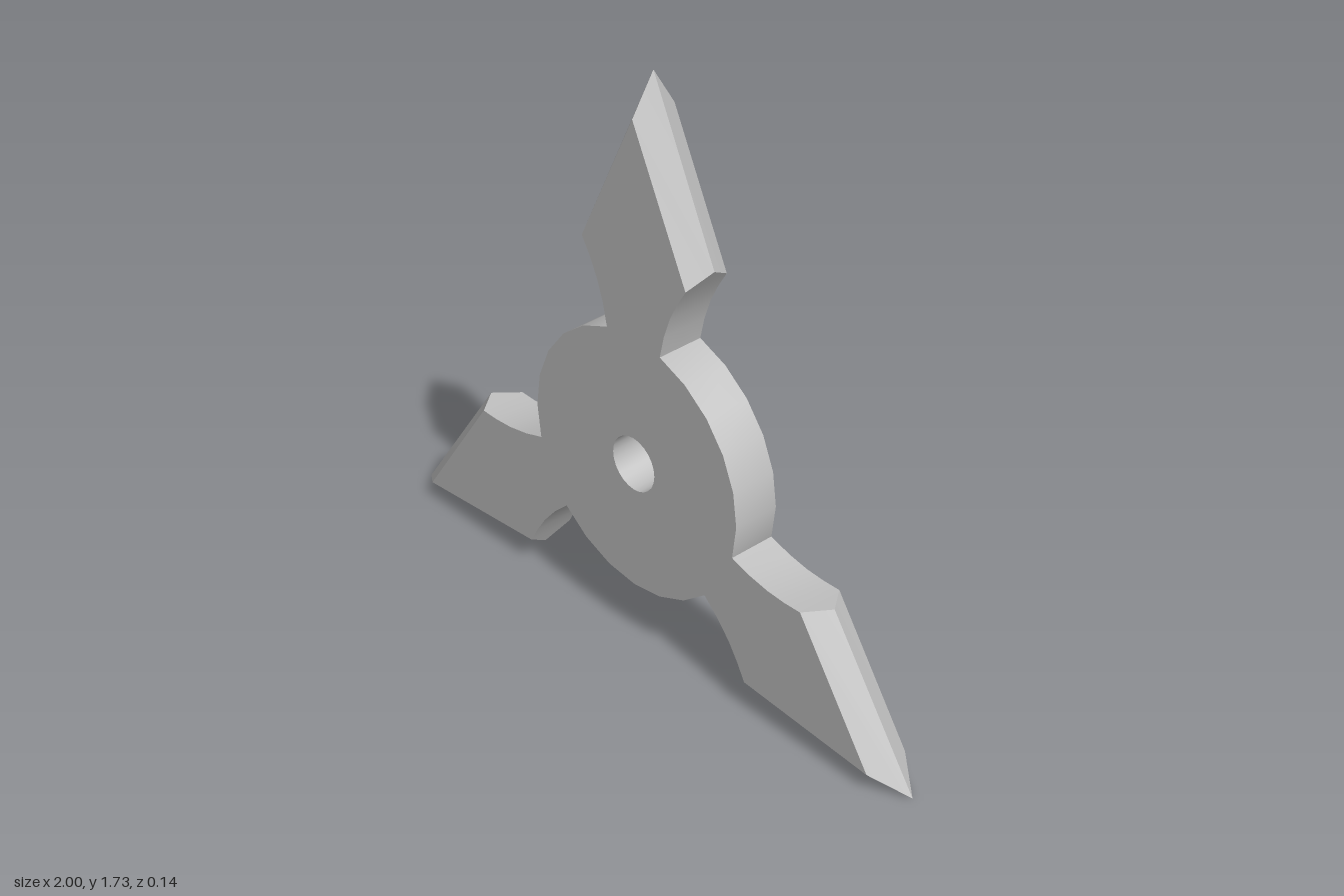
import * as THREE from 'three';
import { toCreasedNormals } from 'three/addons/utils/BufferGeometryUtils.js';

const CENTER_Y = 0.577;  // height of the hub axis
const HALF = 0.072;      // half thickness
const HUB_R = 0.4;
const HOLE_R = 0.083;
const STEP = Math.PI / 12;

const steel = new THREE.MeshStandardMaterial({ color: 0xc0c0c0 });
steel.name = 'steel';

function circlePoints(radius) {
  return Array.from({ length: 24 }, (_, i) =>
    new THREE.Vector2(radius * Math.cos(i * STEP), radius * Math.sin(i * STEP)));
}

// Round hub with a bored hole
function hubGeometry() {
  const shape = new THREE.Shape(circlePoints(HUB_R));
  shape.holes.push(new THREE.Path(circlePoints(HOLE_R)));
  const geometry = new THREE.ExtrudeGeometry(shape, { depth: 2 * HALF, bevelEnabled: false });
  geometry.translate(0, 0, -HALF);
  return toCreasedNormals(geometry, 0.5);
}

// Blade pointing up: flat faces, curved neck and bevelled cutting edges
function bladeGeometry() {
  const root = [HUB_R * Math.cos(5 * STEP), HUB_R * Math.sin(5 * STEP)];
  const neck = [root, [0.119, 0.455], [0.142, 0.52], [0.17, 0.576], [0.2, 0.625]];
  // Each entry pairs a face corner with its corner on the middle plane
  const right = neck.map((p) => ({ face: p, mid: p }));
  right.push({ face: [0.2, 0.625], mid: [0.23, 0.67] });
  const tip = { face: [0, 1.04], mid: [0, 1.155] };
  const flip = ([x, y]) => [-x, y];
  const left = right.map((p) => ({ face: flip(p.face), mid: flip(p.mid) })).reverse();
  const edge = [...right, tip, ...left];

  const positions = [];
  const tri = (...corners) => {
    const [a, b, c] = corners.map((p) => new THREE.Vector3(...p));
    if (new THREE.Triangle(a, b, c).getArea() < 1e-7) return;
    for (const p of [a, b, c]) positions.push(p.x, p.y, p.z);
  };

  // Walls and bevels on both sides of the middle plane
  for (let i = 0; i < edge.length - 1; i++) {
    const a = edge[i], b = edge[i + 1];
    const ma = [...a.mid, 0], mb = [...b.mid, 0];
    const fa = [...a.face, HALF], fb = [...b.face, HALF];
    const ra = [...a.face, -HALF], rb = [...b.face, -HALF];
    tri(ma, mb, fb);
    tri(ma, fb, fa);
    tri(ra, rb, mb);
    tri(ra, mb, ma);
  }

  // Flat front and back, ending on the hub rim
  const outline = [...neck, tip.face, ...neck.map(flip).reverse(), [0, HUB_R]];
  const points = outline.map((p) => new THREE.Vector2(...p));
  for (const [a, b, c] of THREE.ShapeUtils.triangulateShape(points, [])) {
    tri([...outline[a], HALF], [...outline[b], HALF], [...outline[c], HALF]);
    tri([...outline[a], -HALF], [...outline[c], -HALF], [...outline[b], -HALF]);
  }

  const geometry = new THREE.BufferGeometry();
  geometry.setAttribute('position', new THREE.Float32BufferAttribute(positions, 3));
  geometry.computeVertexNormals();
  return toCreasedNormals(geometry, 0.4);
}

export function createModel() {
  const group = new THREE.Group();
  group.name = 'throwingStar';

  const hub = new THREE.Mesh(hubGeometry(), steel);
  hub.name = 'hub';
  hub.position.y = CENTER_Y;
  group.add(hub);

  // Three equal blades around the hub
  const blade = bladeGeometry();
  ['topBlade', 'rightBlade', 'leftBlade'].forEach((name, i) => {
    const mesh = new THREE.Mesh(blade, steel);
    mesh.name = name;
    mesh.position.y = CENTER_Y;
    mesh.rotation.z = (i * 2 * Math.PI) / 3;
    group.add(mesh);
  });
  return group;
}
